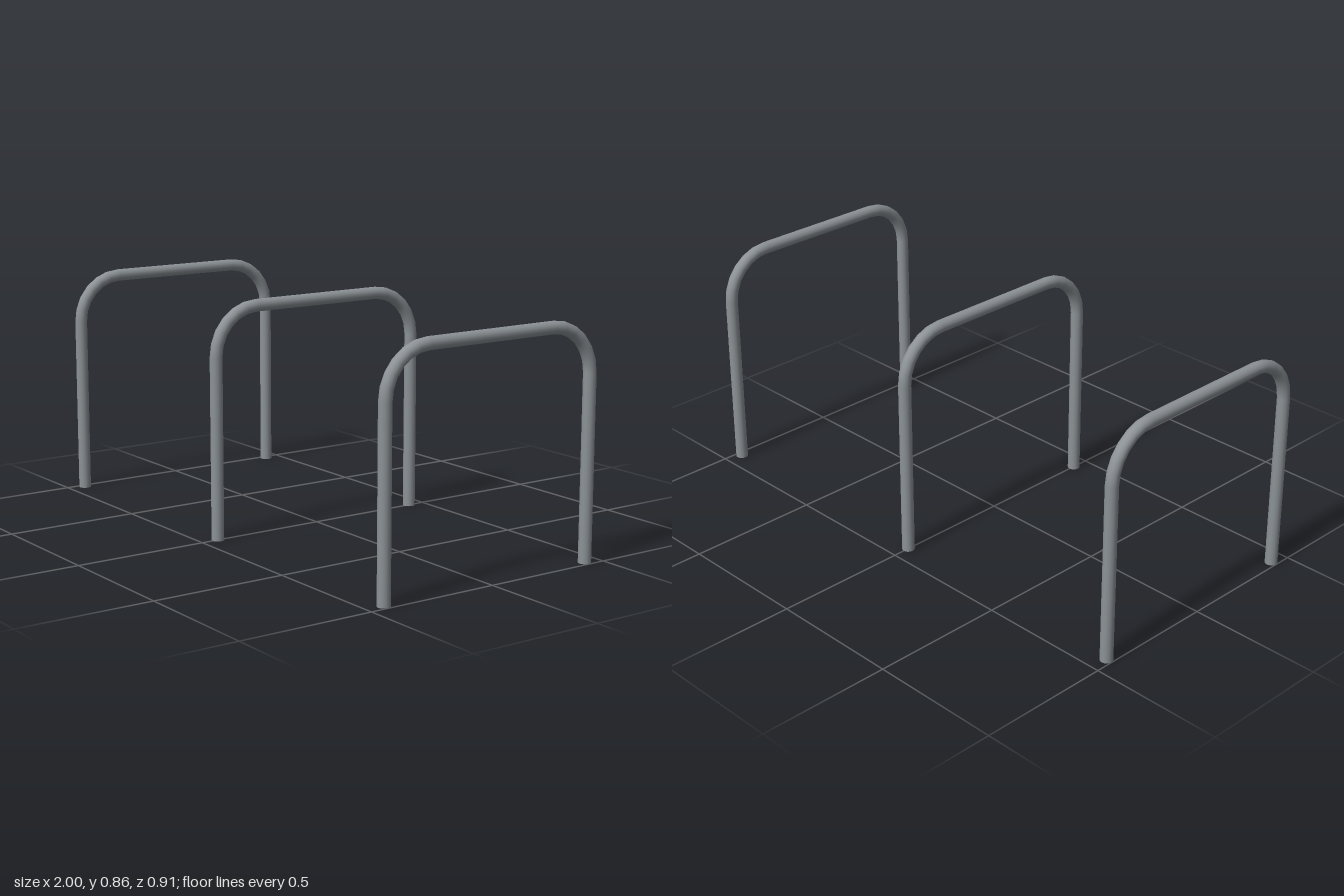
import * as THREE from 'three';

const R = 0.023;         // pipe radius
const BEND = 0.17;       // bend radius of the centreline
const HALF = 0.434;      // half spacing of the legs
const TOP = 0.834;       // height of the top rail centreline
const STEPS = 6;         // segments per bend
const SIDES = 16;

// Centreline of a hoop: leg, bend, rail, bend, leg, with exact stations and tangents
class HoopCurve extends THREE.Curve {
  constructor() {
    super();
    this.stations = [];
    const add = (z, y, a) => this.stations.push({
      point: new THREE.Vector3(0, y, z),
      tangent: new THREE.Vector3(0, Math.cos(a), -Math.sin(a)),
    });
    add(HALF, 0, 0);
    for (const side of [1, -1]) {
      for (let i = 0; i <= STEPS; i++) {
        const a = (i / STEPS) * Math.PI / 2 + (side < 0 ? Math.PI / 2 : 0);
        add(side * (HALF - BEND) + BEND * Math.cos(a), TOP - BEND + BEND * Math.sin(a), a);
      }
    }
    add(-HALF, 0, Math.PI);
  }
  station(u) { return this.stations[Math.round(u * (this.stations.length - 1))]; }
  getPoint(u, target = new THREE.Vector3()) { return target.copy(this.station(u).point); }
  getPointAt(u, target) { return this.getPoint(u, target); }
  getTangent(u, target = new THREE.Vector3()) { return target.copy(this.station(u).tangent); }
  getTangentAt(u, target) { return this.getTangent(u, target); }
}

export function createModel() {
  const model = new THREE.Group();
  model.name = 'bikeRack';
  const steel = new THREE.MeshStandardMaterial({ color: 0x8c9296 });
  steel.name = 'steel grey';

  const curve = new HoopCurve();
  const pipeGeo = new THREE.TubeGeometry(curve, curve.stations.length - 1, R, SIDES, false);
  const capGeo = new THREE.CircleGeometry(R, SIDES).rotateX(Math.PI / 2);

  // Three identical hoops in a row
  ['right', 'middle', 'left'].forEach((label, i) => {
    const hoop = new THREE.Group();
    hoop.name = label + 'Hoop';
    hoop.position.x = (i - 1) * (1 - R);

    const pipe = new THREE.Mesh(pipeGeo, steel);
    pipe.name = 'bentPipe';
    hoop.add(pipe);

    // Closed pipe ends at the ground
    for (const s of [1, -1]) {
      const cap = new THREE.Mesh(capGeo, steel);
      cap.name = s > 0 ? 'frontPipeEnd' : 'backPipeEnd';
      cap.position.z = s * HALF;
      hoop.add(cap);
    }
    model.add(hoop);
  });
  return model;
}
